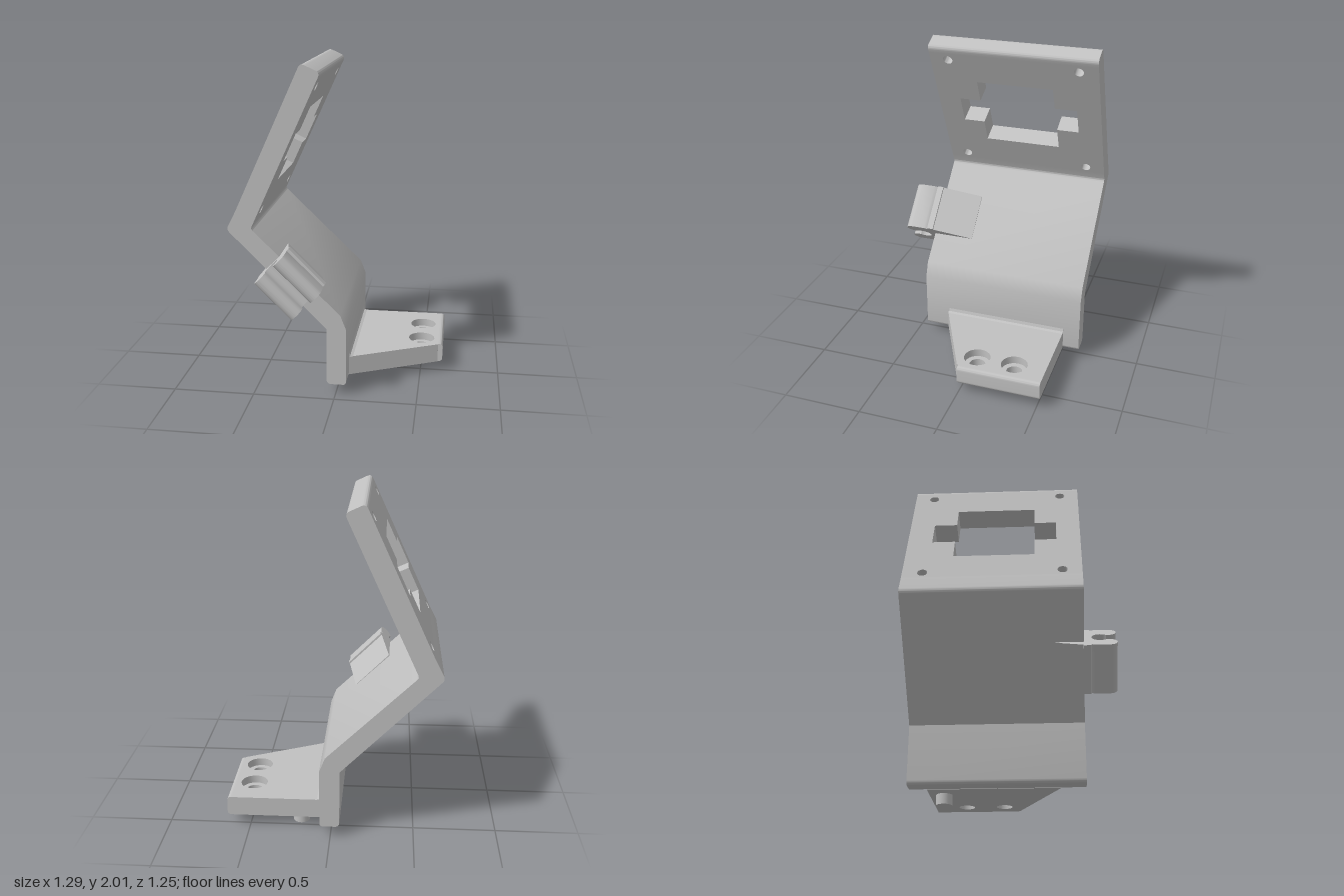
import * as THREE from 'three';
import { toCreasedNormals } from 'three/addons/utils/BufferGeometryUtils.js';

const V = (x, y, z) => new THREE.Vector3(x, y, z);

// Polygon from [x, y, cornerRadius] points
function outline(points) {
  const shape = new THREE.Shape();
  const n = points.length;
  points.forEach(([x, y, r = 0], i) => {
    const p = new THREE.Vector2(x, y);
    const toward = (q) => new THREE.Vector2(q[0], q[1]).sub(p).normalize().multiplyScalar(r).add(p);
    const a = toward(points[(i + n - 1) % n]);
    const b = toward(points[(i + 1) % n]);
    if (i === 0) shape.moveTo(a.x, a.y);
    else shape.lineTo(a.x, a.y);
    if (r > 0) shape.quadraticCurveTo(x, y, b.x, b.y);
  });
  shape.closePath();
  return shape;
}

function circle(x, y, r) {
  return new THREE.Path().absarc(x, y, r, 0, Math.PI * 2, true);
}

export function createModel() {
  const model = new THREE.Group();
  model.name = 'angledBracket';
  const grey = new THREE.MeshStandardMaterial({ color: 0xc0c0c0 });
  grey.name = 'light grey';

  const add = (name, geometry) => {
    const mesh = new THREE.Mesh(geometry, grey);
    mesh.name = name;
    model.add(mesh);
    return mesh;
  };
  // Extrude a shape whose x, y and depth axes are the given directions
  const extrude = (name, shape, depth, origin, ex = V(1, 0, 0), ey = V(0, 1, 0)) => {
    const g = new THREE.ExtrudeGeometry(shape, { depth, bevelEnabled: false, curveSegments: 12 });
    const m = new THREE.Matrix4().makeBasis(ex, ey, ex.clone().cross(ey)).setPosition(origin);
    return add(name, toCreasedNormals(g.applyMatrix4(m), 0.6));
  };

  const zBack = -0.625, zFront = 0.43, length = zFront - zBack;

  // Panel frame: t runs up the slope, d goes from inner to outer face
  const inner = V(-0.505, 1.04, 0);
  const up = V(0.417, 0.909, 0).normalize();
  const out = V(0, 0, 1).cross(up);
  const thick = 0.125, t0 = 0.06, t1 = 0.97;
  const at = (t, d, r = 0) => {
    const p = inner.clone().addScaledVector(up, t).addScaledVector(out, d);
    return [p.x, p.y, r];
  };

  // Folded web: upright, diagonal and start of the panel
  extrude('foldedWeb', outline([
    [-0.055, 0.065, 0.03], [0.065, 0.065, 0.02], [0.065, 0.43], [0.03, 0.52],
    [-0.505, 1.04, 0.015], at(t0, 0), at(t0, thick), [-0.652, 1.032, 0.025], [-0.055, 0.43],
  ]), length, V(0, 0, zBack));

  // Sloping panel with cross-shaped window and four screw holes
  const panel = outline([[zBack, t0], [zFront, t0], [zFront, t1], [zBack, t1]]);
  panel.holes.push(outline([
    [-0.335, 0.265], [-0.335, 0.42], [-0.475, 0.42], [-0.475, 0.605],
    [-0.335, 0.605], [-0.335, 0.76], [0.15, 0.76], [0.15, 0.605],
    [0.285, 0.605], [0.285, 0.42], [0.15, 0.42], [0.15, 0.265],
  ]));
  for (const z of [-0.505, 0.315])
    for (const t of [0.105, 0.92]) panel.holes.push(circle(z, t, 0.03));
  extrude('panel', panel, thick, inner, V(0, 0, 1), up);
  extrude('panelTip', outline([
    at(t1, 0), at(1.015, 0, 0.03), at(1.015, thick, 0.03), at(t1, thick),
  ]), length, V(0, 0, zBack));

  // Foot plate in two layers, giving stepped screw holes
  const footLayer = (name, y, height, radius) => {
    const foot = outline([[0.06, 0.52], [0.06, -0.282], [0.61, -0.015], [0.61, 0.52]]);
    for (const z of [-0.32, -0.08]) foot.holes.push(circle(0.5, -z, radius));
    extrude(name, foot, height, V(0, y, 0), V(1, 0, 0), V(0, 0, -1));
  };
  footLayer('footLower', 0.065, 0.07, 0.05);
  footLayer('footUpper', 0.135, 0.05, 0.083);
  extrude('footEdge', outline([
    [0.61, 0.065], [0.64, 0.065, 0.025], [0.64, 0.185, 0.025], [0.61, 0.185],
  ]), 0.527, V(0, 0, -0.52));
  extrude('footFillet', outline([[0.06, 0.18], [0.088, 0.185], [0.071, 0.191], [0.065, 0.21], [0.06, 0.21]]),
    0.79, V(0, 0, -0.52));

  // Locating pin under the foot
  const pin = add('locatingPin', new THREE.CylinderGeometry(0.05, 0.05, 0.07, 32));
  pin.position.set(0.19, 0.035, -0.43);

  // Cable clip on the front edge, extruded along the diagonal
  const s = Math.SQRT1_2;
  const across = V(s, s, 0), along = V(s, -s, 0);
  const clipOrigin = across.clone().multiplyScalar(0.34).addScaledVector(along, -0.856);
  const clipPart = (name, shape) => extrude(name, shape, 0.304, clipOrigin, across, V(0, 0, 1));

  const clip = new THREE.Shape();
  clip.moveTo(-0.132, 0.425);
  clip.lineTo(0.132, 0.425);
  clip.lineTo(0.132, 0.465);
  clip.lineTo(0.115, 0.472);
  clip.lineTo(0.125, 0.49);
  clip.absarc(0.08, 0.577, 0.045, 0, Math.PI, false);
  const mouth = Math.atan2(0.036, 0.035);
  clip.absarc(0, 0.525, 0.05, mouth, Math.PI - mouth, true);
  clip.absarc(-0.08, 0.577, 0.045, 0, Math.PI, false);
  clip.lineTo(-0.125, 0.49);
  clip.lineTo(-0.115, 0.472);
  clip.lineTo(-0.132, 0.465);
  clip.closePath();
  clipPart('cableClip', clip);

  // Tapered gussets tying the clip to both faces of the diagonal
  clipPart('upperGusset', outline([[0.03, 0.17], [0.048, 0.17], [0.132, 0.465], [0.03, 0.465]]));
  clipPart('lowerGusset', outline([[-0.06, 0.25], [-0.06, 0.465], [-0.132, 0.465], [-0.076, 0.25]]));

  return model;
}
